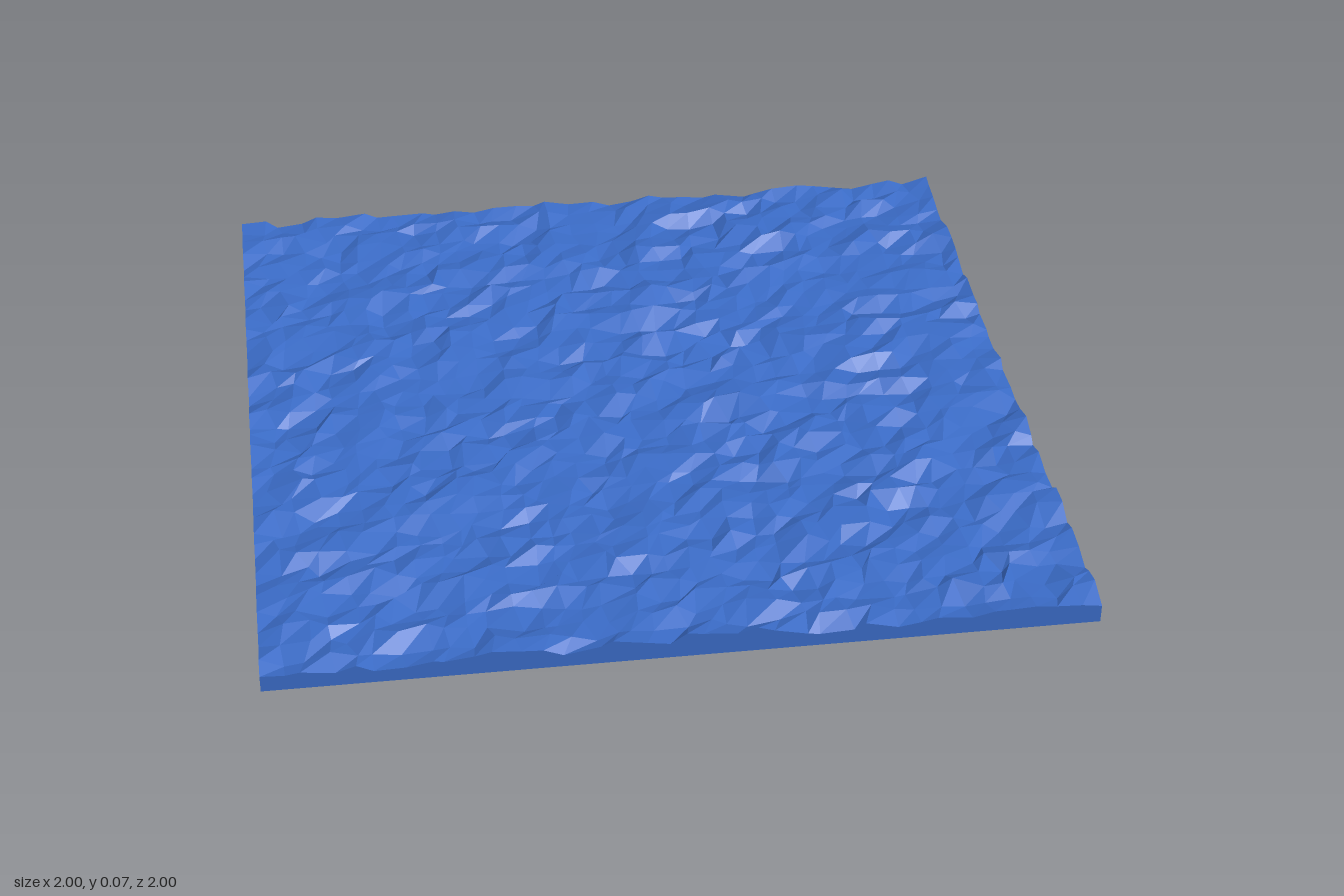
import * as THREE from 'three';

const CELLS = 36;      // facets along each side
const LEVEL = 0.048;   // mean surface height
const STEP = 2 / CELLS;

// Repeatable value in 0..1 for a grid point
function hash(i, j, seed) {
  let h = Math.imul(i + 101, 374761393) ^ Math.imul(j + 57, 668265263) ^ Math.imul(seed + 1, 1274126177);
  h = Math.imul(h ^ (h >>> 13), 1274126177);
  h = Math.imul(h ^ (h >>> 15), 2246822519);
  return ((h ^ (h >>> 16)) >>> 0) / 4294967296;
}

// Wave height: choppy noise averaged lightly with its neighbour
function waveHeight(i, j) {
  const chop = 0.7 * hash(i, j, 1) + 0.3 * hash(i + 1, j, 1) - 0.5;
  return Math.min(0.07, Math.max(0.026, LEVEL + chop * 0.046));
}

export function createModel() {
  const group = new THREE.Group();
  group.name = 'waterTile';

  // Slab whose top grid is jittered into irregular, faceted ripples
  const geometry = new THREE.BoxGeometry(2, LEVEL, 2, CELLS, 1, CELLS);
  geometry.translate(0, LEVEL / 2, 0);
  const pos = geometry.attributes.position;
  for (let k = 0; k < pos.count; k++) {
    if (pos.getY(k) < LEVEL / 2) continue; // flat underside
    const i = Math.round((pos.getX(k) + 1) / STEP);
    const j = Math.round((pos.getZ(k) + 1) / STEP);
    // Border points keep the square outline
    const dx = i > 0 && i < CELLS ? (hash(i, j, 2) - 0.5) * 0.7 * STEP : 0;
    const dz = j > 0 && j < CELLS ? (hash(i, j, 3) - 0.5) * 0.7 * STEP : 0;
    pos.setXYZ(k, pos.getX(k) + dx, waveHeight(i, j), pos.getZ(k) + dz);
  }
  geometry.computeVertexNormals();

  const material = new THREE.MeshStandardMaterial({ color: 0x3a6bc6, flatShading: true });
  const water = new THREE.Mesh(geometry, material);
  water.name = 'water';
  group.add(water);
  return group;
}
